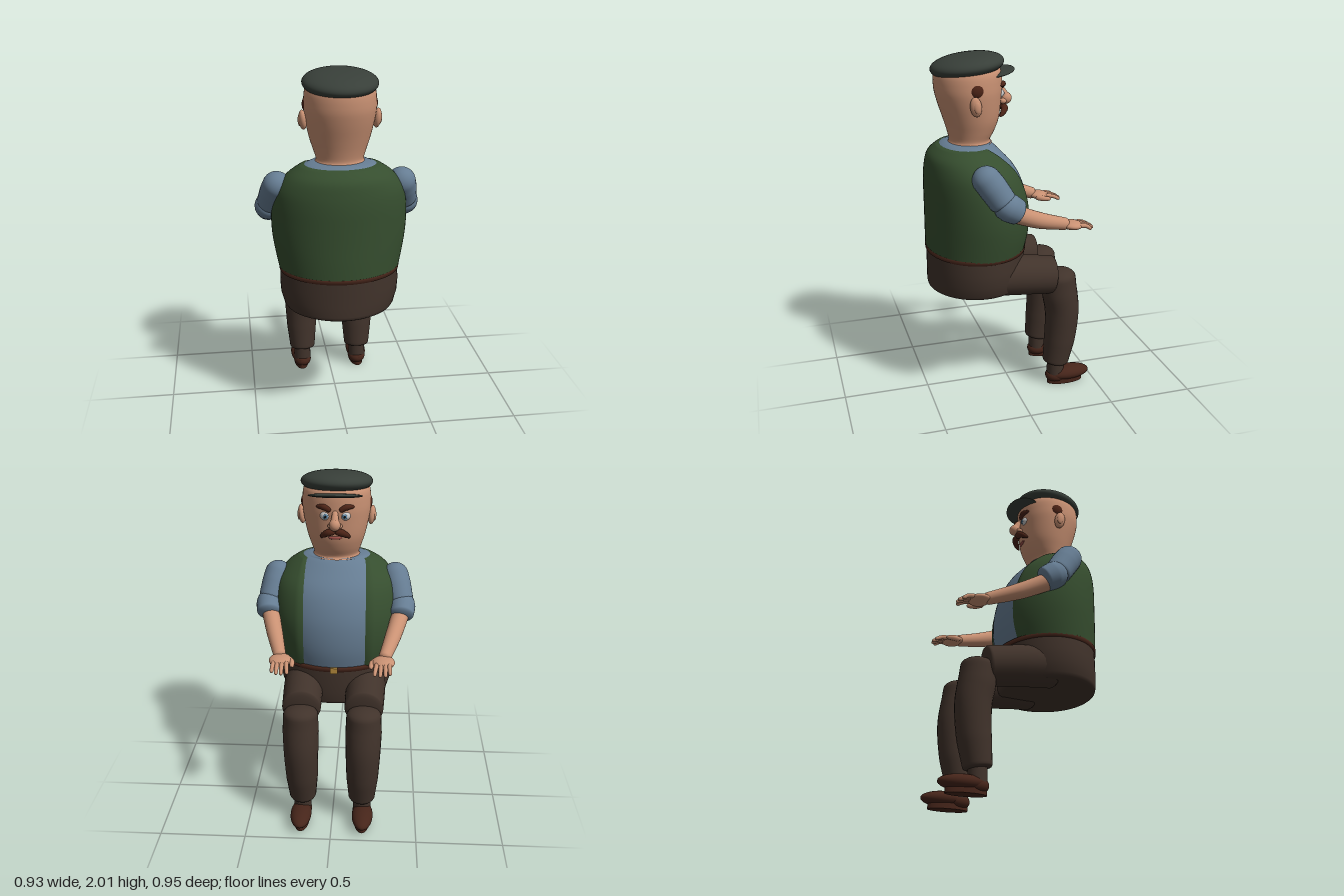
import * as THREE from 'three';

const mat = (color) => new THREE.MeshStandardMaterial({ color, side: THREE.DoubleSide });
const skin = mat(0xc99173), green = mat(0x364e2f), blue = mat(0x667d93), brown = mat(0x41332b),
  felt = mat(0x383f39), hair = mat(0x4c2417), leather = mat(0x46251a), brass = mat(0xb58a3c),
  white = mat(0xf2f2f2), iris = mat(0x5c87a8), black = mat(0x0c0c0c), lip = mat(0x9c4f48);
const V = (x, y, z) => new THREE.Vector3(x, y, z);

function add(parent, name, geometry, material) {
  const m = new THREE.Mesh(geometry, material);
  m.name = name;
  parent.add(m);
  return m;
}

// Skin a list of point rows; closed rows wrap around
function skinRows(rows, closed = true) {
  const w = rows[0].length, idx = [];
  for (let i = 0; i < rows.length - 1; i++)
    for (let j = 0; j < (closed ? w : w - 1); j++) {
      const k = (j + 1) % w, a = i * w + j, b = i * w + k;
      idx.push(a, b, a + w, b, b + w, a + w);
    }
  const g = new THREE.BufferGeometry().setFromPoints(rows.flat());
  g.setIndex(idx);
  g.computeVertexNormals();
  return g;
}

// Smooth interpolation between [y, rx, rz, centreZ] cross-sections
function smooth(rings, n = 4) {
  const out = [], at = (i) => rings[Math.min(Math.max(i, 0), rings.length - 1)];
  for (let i = 0; i < rings.length - 1; i++)
    for (let s = 0; s < n; s++) {
      const t = s / n;
      out.push(rings[i].map((p, k) => {
        const o = at(i - 1)[k], q = at(i + 1)[k], r = at(i + 2)[k];
        return p + 0.5 * t * (q - o + t * (2 * o - 5 * p + 4 * q - r + t * (3 * (p - q) + r - o)));
      }));
    }
  return [...out, rings.at(-1)];
}

// Elliptical body from stacked cross-sections
function loft(rings, seg = 56) {
  return skinRows(rings.map(([y, rx, rz, cz]) => Array.from({ length: seg }, (_, j) => {
    const a = j / seg * Math.PI * 2;
    return V(rx * Math.cos(a), y, cz - rz * Math.sin(a));
  })));
}

// Tapered limb along a curve with rounded ends; caps = rounding length at start and end
function limb(points, radii, caps, ref = V(1, 0, 0), n = 36, seg = 24) {
  const curve = new THREE.CatmullRomCurve3(points), len = curve.getLength(), rows = [];
  for (let i = 0; i <= n; i++) {
    const t = (1 - Math.cos(Math.PI * i / n)) / 2;
    const [d, cap] = t < 0.5 ? [t * len, caps[0]] : [(1 - t) * len, caps[1]];
    const f = t * (radii.length - 1), k = Math.min(Math.floor(f), radii.length - 2);
    const round = d < cap ? Math.sqrt(Math.max(0, 1 - (1 - d / cap) ** 2)) : 1;
    const r = THREE.MathUtils.lerp(radii[k], radii[k + 1], f - k) * round;
    const T = curve.getTangentAt(t), N = T.clone().cross(ref).normalize(), B = T.clone().cross(N);
    const P = curve.getPointAt(t);
    rows.push(Array.from({ length: seg }, (_, j) => {
      const a = j / seg * Math.PI * 2;
      return P.clone().addScaledVector(N, r * Math.cos(a)).addScaledVector(B, r * Math.sin(a));
    }));
  }
  return skinRows(rows);
}

function ball(parent, name, material, [x, y, z], [rx, ry, rz], [ax, ay, az] = [0, 0, 0]) {
  const m = add(parent, name, new THREE.SphereGeometry(1, 32, 20), material);
  m.position.set(x, y, z);
  m.scale.set(rx, ry, rz);
  m.rotation.set(ax, ay, az);
  return m;
}

function buildTorso(root) {
  const g = new THREE.Group();
  g.name = 'torso';
  root.add(g);
  const body = smooth([
    [0.9, 0.335, 0.282, 0.19], [1.0, 0.355, 0.293, 0.18], [1.1, 0.37, 0.295, 0.177],
    [1.2, 0.374, 0.29, 0.182], [1.3, 0.365, 0.275, 0.197], [1.38, 0.342, 0.25, 0.215],
    [1.45, 0.288, 0.21, 0.238], [1.495, 0.225, 0.165, 0.238], [1.51, 0.19, 0.14, 0.235]]);
  const inset = body.map(([y, rx, rz, cz]) => [y, rx - 0.01, rz - 0.008, cz]);
  add(g, 'shirt', loft([...inset, [1.518, 0.15, 0.125, 0.22], [1.518, 0.1, 0.1, 0.22]]), blue);

  // Vest: open at the front, edges folded in to the shirt
  const vestRings = body.slice(0, -2), seg = 64;
  const vest = vestRings.map(([y, rx, rz, cz], i) => {
    const open = Math.asin(Math.min(0.175 / rx, 0.8));
    return Array.from({ length: seg + 1 }, (_, j) => {
      const a = Math.PI / 2 + open + (j / seg) * (Math.PI * 2 - 2 * open);
      const e = j === 0 || j === seg || i === vestRings.length - 1 ? -0.014 : 0.004;
      return V((rx + e) * Math.cos(a), y, cz - (rz + e) * Math.sin(a));
    });
  });
  add(g, 'vest', skinRows(vest, false), green);

  add(g, 'trouserSeat', loft([[0.665, 0, 0, 0.2], [0.665, 0.28, 0.26, 0.2], [0.672, 0.302, 0.272, 0.197],
    [0.69, 0.315, 0.278, 0.195], [0.75, 0.332, 0.28, 0.192], [0.82, 0.337, 0.282, 0.19],
    [0.9, 0.332, 0.282, 0.19]]), brown);
  add(g, 'belt', loft([[0.888, 0.325, 0.275, 0.19], [0.89, 0.339, 0.288, 0.19],
    [0.913, 0.341, 0.29, 0.19], [0.917, 0.325, 0.275, 0.19]]), leather);
  const buckle = add(g, 'buckle', new THREE.BoxGeometry(0.045, 0.034, 0.015), brass);
  buckle.position.set(0, 0.903, -0.103);
}

function buildHead(root) {
  const g = new THREE.Group();
  g.name = 'head';
  root.add(g);
  add(g, 'headAndNeck', loft(smooth([[1.512, 0.142, 0.125, 0.215], [1.53, 0.13, 0.114, 0.215],
    [1.58, 0.145, 0.132, 0.207], [1.65, 0.167, 0.155, 0.205], [1.75, 0.188, 0.177, 0.215],
    [1.83, 0.195, 0.188, 0.22], [1.92, 0.18, 0.178, 0.22], [1.95, 0.1, 0.1, 0.22]])), skin);

  for (const s of [1, -1]) {
    ball(g, 'ear', skin, [s * 0.2, 1.745, 0.225], [0.022, 0.055, 0.032], [0.15, 0, s * -0.1]);
    ball(g, 'innerEar', skin, [s * 0.216, 1.745, 0.222], [0.01, 0.035, 0.018], [0.15, 0, 0]);
    ball(g, 'sideHair', hair, [s * 0.178, 1.825, 0.215], [0.025, 0.042, 0.04]);
    ball(g, 'eye', white, [s * 0.055, 1.785, 0.058], [0.03, 0.028, 0.028]);
    ball(g, 'iris', iris, [s * 0.053, 1.784, 0.034], [0.014, 0.014, 0.007]);
    ball(g, 'pupil', black, [s * 0.053, 1.784, 0.029], [0.007, 0.007, 0.004]);
    add(g, 'eyebrow', limb([V(s * 0.025, 1.815, 0.035), V(s * 0.06, 1.836, 0.036),
      V(s * 0.105, 1.835, 0.06)], [0.014, 0.017, 0.008], [0.012, 0.012], V(0, 1, 0), 20, 12), hair);
    add(g, 'moustache', limb([V(0, 1.7, 0.022), V(s * 0.035, 1.697, 0.02), V(s * 0.068, 1.675, 0.04),
      V(s * 0.082, 1.658, 0.06)], [0.016, 0.021, 0.016, 0.006], [0.012, 0.012], V(0, 0, 1), 24, 14), hair);
    ball(g, 'nostril', skin, [s * 0.023, 1.733, 0.025], [0.018, 0.016, 0.02]);
  }
  add(g, 'noseBridge', limb([V(0, 1.815, 0.04), V(0, 1.78, 0.018), V(0, 1.745, 0.002)],
    [0.014, 0.02, 0.028], [0.015, 0.02]), skin);
  ball(g, 'noseTip', skin, [0, 1.745, 0.002], [0.032, 0.034, 0.033]);
  ball(g, 'mouth', lip, [0, 1.658, 0.052], [0.038, 0.011, 0.012]);

  // Flat cap, tipped back
  const cap = new THREE.Group();
  cap.name = 'cap';
  cap.position.set(0, 1.94, 0.222);
  cap.rotation.x = 0.13;
  g.add(cap);
  const profile = new THREE.SplineCurve([[0.01, -0.045], [0.12, -0.045], [0.175, -0.036], [0.203, -0.006],
    [0.19, 0.024], [0.14, 0.046], [0.07, 0.057], [0, 0.06]].map((p) => new THREE.Vector2(...p)));
  add(cap, 'crown', new THREE.LatheGeometry(profile.getPoints(40), 56), felt);
  ball(g, 'brim', felt, [0, 1.895, 0.06], [0.153, 0.013, 0.102], [0.22, 0, 0]);
}

function buildArm(root, s) {
  const g = new THREE.Group();
  g.name = 'arm';
  root.add(g);
  const p = (x, y, z) => V(s * x, y, z);
  add(g, 'upperSleeve', limb([p(0.328, 1.445, 0.255), p(0.355, 1.35, 0.185), p(0.385, 1.235, 0.11)],
    [0.076, 0.08, 0.074], [0.075, 0.04]), blue);
  add(g, 'rolledCuff', limb([p(0.376, 1.275, 0.16), p(0.387, 1.235, 0.1), p(0.384, 1.192, 0.03)],
    [0.07, 0.078, 0.068], [0.05, 0.025]), blue);
  add(g, 'forearm', limb([p(0.385, 1.205, 0.09), p(0.34, 1.13, -0.08), p(0.288, 1.068, -0.275)],
    [0.052, 0.046, 0.034], [0.03, 0.02]), skin);
  ball(g, 'palm', skin, [s * 0.285, 1.062, -0.3], [0.063, 0.026, 0.063], [-0.1, 0, 0]);
  const fingers = [[0.25, 0.237, -0.42], [0.273, 0.268, -0.43], [0.296, 0.297, -0.426], [0.317, 0.323, -0.407]];
  for (const [x0, x1, z1] of fingers)
    add(g, 'finger', limb([p(x0, 1.062, -0.325), p((x0 + x1) / 2, 1.058, -0.375), p(x1, 1.036, z1)],
      [0.014, 0.0125, 0.01], [0.012, 0.012], V(1, 0, 0), 16, 12), skin);
  add(g, 'thumb', limb([p(0.245, 1.06, -0.265), p(0.222, 1.055, -0.305), p(0.216, 1.05, -0.355)],
    [0.016, 0.017, 0.011], [0.015, 0.014], V(0, 1, 0), 16, 12), skin);
}

function buildLeg(root, s) {
  const g = new THREE.Group();
  g.name = 'leg';
  root.add(g);
  const p = (x, y, z) => V(s * x, y, z);
  add(g, 'thigh', limb([p(0.185, 0.765, 0.2), p(0.185, 0.75, 0), p(0.18, 0.72, -0.238)],
    [0.118, 0.118, 0.112], [0.05, 0.02]), brown);
  add(g, 'trouserShin', limb([p(0.182, 0.755, -0.265), p(0.182, 0.62, -0.275), p(0.181, 0.5, -0.293),
    p(0.179, 0.35, -0.289), p(0.176, 0.135, -0.26)], [0.098, 0.105, 0.1, 0.093, 0.077], [0.05, 0.015]), brown);
  const sock = add(g, 'sock', new THREE.CylinderGeometry(0.052, 0.052, 0.1, 28), brown);
  sock.position.set(s * 0.178, 0.1, -0.262);
  ball(g, 'shoeUpper', leather, [s * 0.183, 0.06, -0.338], [0.062, 0.044, 0.136]);
  ball(g, 'shoeHeelCup', leather, [s * 0.178, 0.05, -0.265], [0.055, 0.045, 0.065]);
  const sole = add(g, 'shoeSole', new THREE.CylinderGeometry(1, 1, 0.035, 36), leather);
  sole.scale.set(0.045, 1, 0.112);
  sole.position.set(s * 0.181, 0.0175, -0.322);
}

export function createModel() {
  const root = new THREE.Group();
  root.name = 'seatedMan';
  buildTorso(root);
  buildHead(root);
  for (const s of [1, -1]) {
    buildArm(root, s);
    buildLeg(root, s);
  }
  return root;
}
